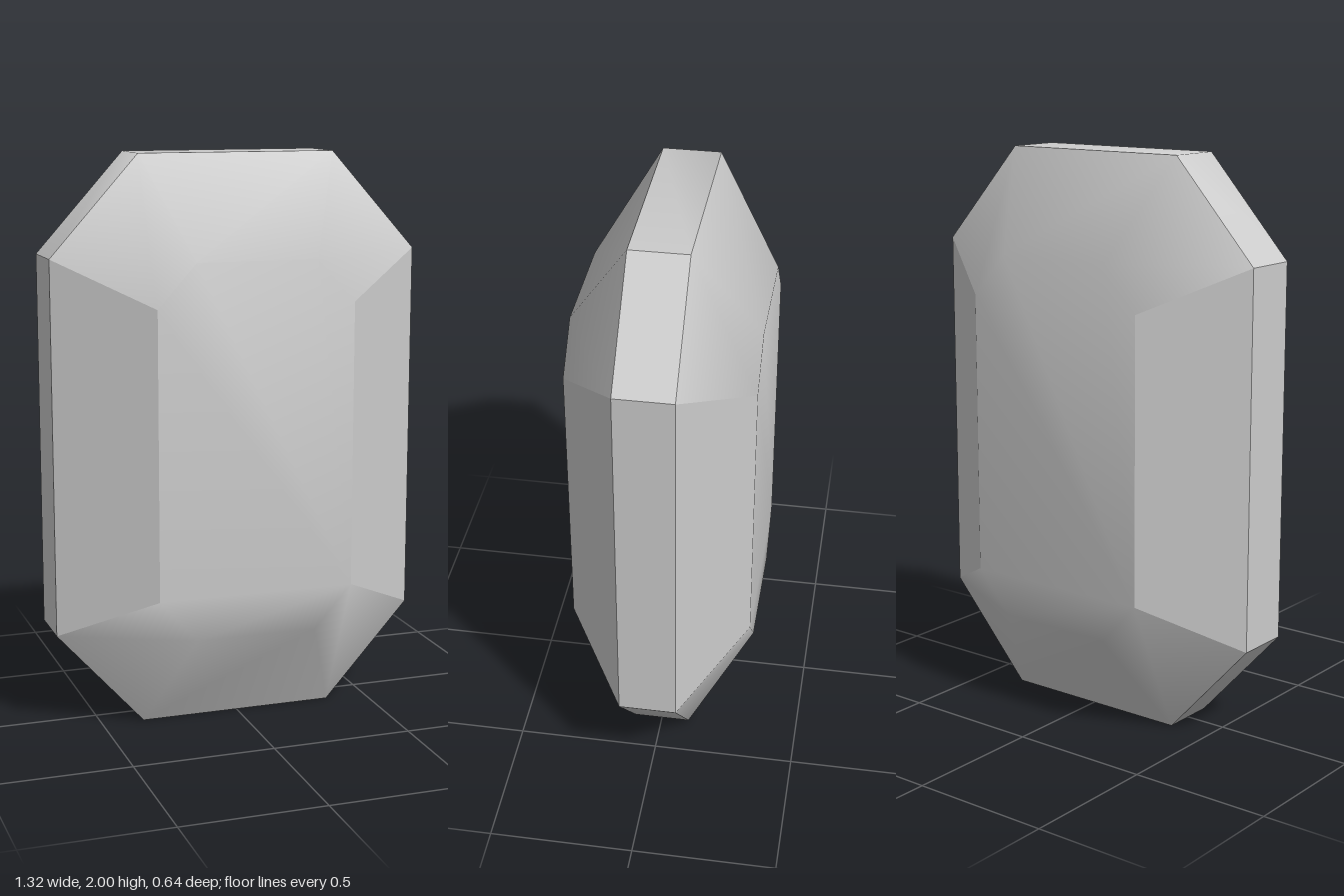
import * as THREE from 'three';
import { mergeVertices } from 'three/addons/utils/BufferGeometryUtils.js';

const RIM = 0.1, TABLE = 0.32;

// Octagon, counter-clockwise from the lower +x corner; w/h half extents, a/b half lengths of the flats
const octagon = (w, h, a, b, z) =>
  [[w, -b], [w, b], [a, h], [-a, h], [-w, b], [-w, -b], [-a, -h], [a, -h]]
    .map(([x, y]) => new THREE.Vector3(x, y + 1, z));

const outerFront = octagon(0.66, 1, 0.35, 0.655, RIM);
const outerBack = octagon(0.66, 1, 0.35, 0.655, -RIM);
const inner = octagon(0.35, 0.65, 0.215, 0.5, TABLE);

// Band facet i between two octagons
const facet = (from, to, i) => {
  const j = (i + 1) % 8;
  return [from[i], from[j], to[j], to[i]];
};

// Polygons that share one smooth surface
function surface(name, polygons) {
  const points = [];
  for (const p of polygons)
    for (let i = 1; i < p.length - 1; i++) points.push(p[0], p[i], p[i + 1]);
  const geometry = mergeVertices(new THREE.BufferGeometry().setFromPoints(points));
  geometry.computeVertexNormals();
  const mesh = new THREE.Mesh(geometry, new THREE.MeshStandardMaterial({ color: 0xcccccc }));
  mesh.name = name;
  return mesh;
}

export function createModel() {
  const gem = new THREE.Group();
  gem.name = 'gem';

  // Front and back: softly shaded table with end facets, crisp flat side facets
  for (const side of ['front', 'back']) {
    const half = new THREE.Group();
    half.name = side + 'Half';
    half.add(surface('table', [inner, ...[1, 2, 3, 5, 6, 7].map(i => facet(outerFront, inner, i))]));
    half.add(surface('leftSideFacet', [facet(outerFront, inner, 0)]));
    half.add(surface('rightSideFacet', [facet(outerFront, inner, 4)]));
    if (side === 'back') half.rotation.y = Math.PI;
    gem.add(half);
  }

  // Girdle around the edge
  const girdle = {
    leftGirdle: [0], topLeftGirdle: [1], topGirdle: [2, 3], rightGirdle: [4], bottomGirdle: [5, 6, 7],
  };
  for (const [name, ids] of Object.entries(girdle))
    gem.add(surface(name, ids.map(i => facet(outerBack, outerFront, i))));

  return gem;
}
